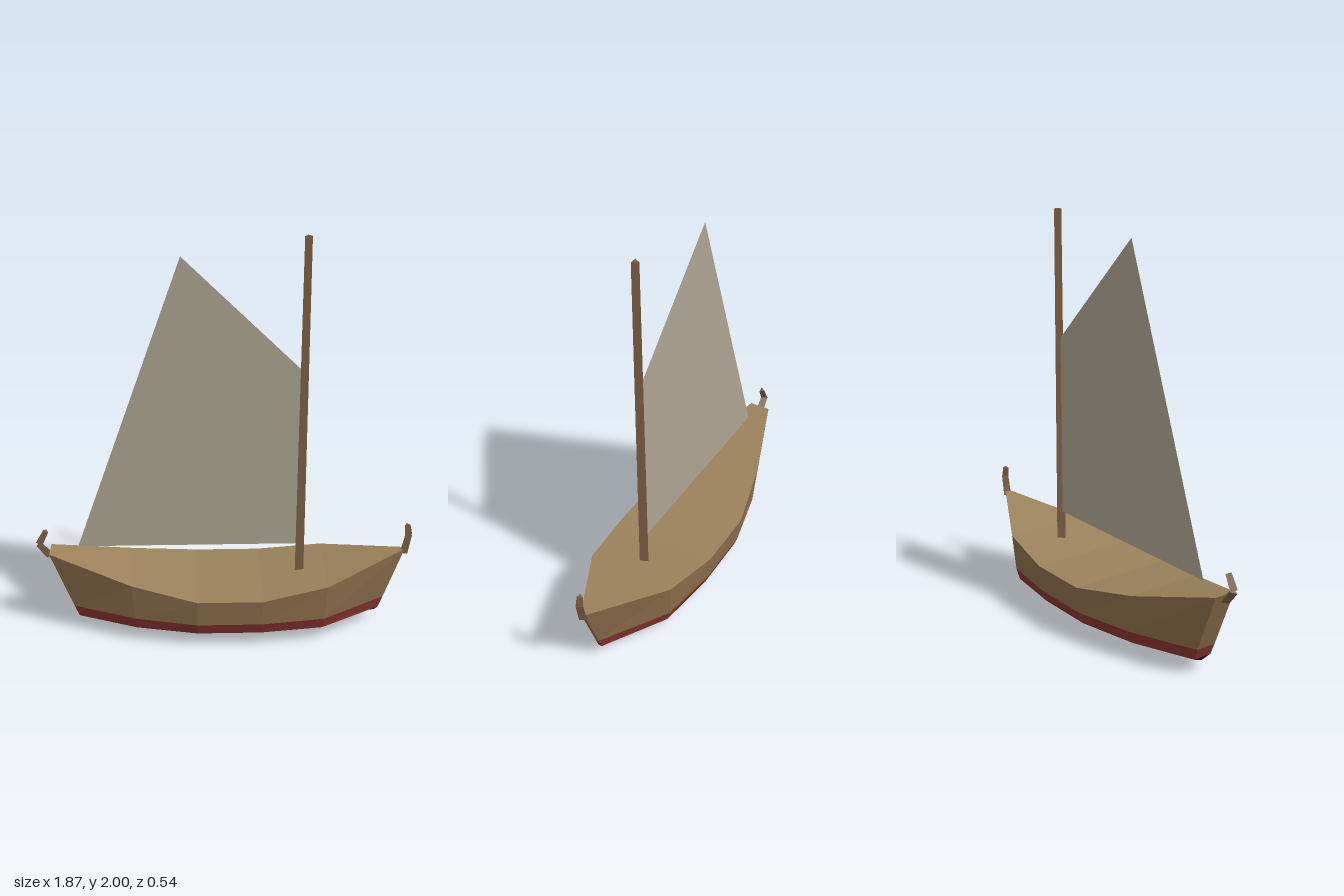
import * as THREE from 'three';

const mat = (color, extra = {}) => new THREE.MeshStandardMaterial({ color, flatShading: true, ...extra });
const WOOD = 0x8c6e4c, DECK = 0x9c825c, SPAR = 0x7d5f45, RED = 0x8a3430, BLACK = 0x131210, SAIL = 0xaca491;

// Hull stations, stern to bow: deck x, deck y, half width, chine x, keel x, keel y
const STATIONS = [
  [-0.87, 0.435, 0.055, -0.737, -0.73, 0.06],
  [-0.46, 0.33, 0.195, -0.443, -0.44, 0.018],
  [-0.14, 0.275, 0.27, -0.14, -0.14, 0.005],
  [0.18, 0.275, 0.27, 0.175, 0.175, 0.002],
  [0.5, 0.325, 0.225, 0.48, 0.48, 0.015],
  [0.905, 0.415, 0.01, 0.787, 0.77, 0.06],
];
const CHINE = 0.08, STRIPE = 0.14;

// Rows of points along the port side
const V = (x, y, z) => new THREE.Vector3(x, y, z);
const sheerRow = STATIONS.map(([x, y, w]) => V(x, y, w));
const stripeRow = STATIONS.map(([x, y, w, cx]) =>
  V(cx + (x - cx) * (STRIPE - CHINE) / (y - CHINE), STRIPE, w * 0.945));
const chineRow = STATIONS.map(([, , w, cx]) => V(cx, CHINE, w * 0.865));
const keelRow = STATIONS.map(([, , , , kx, ky]) => V(kx, ky, 0));
const flip = (row) => row.map((p) => V(p.x, p.y, -p.z));

function quadMesh(name, quads, color) {
  const pos = [];
  for (const [a, b, c, d] of quads) for (const p of [a, b, c, a, c, d]) pos.push(p.x, p.y, p.z);
  const geo = new THREE.BufferGeometry();
  geo.setAttribute('position', new THREE.Float32BufferAttribute(pos, 3));
  geo.computeVertexNormals();
  const mesh = new THREE.Mesh(geo, mat(color));
  mesh.name = name;
  return mesh;
}

const strip = (low, high) =>
  low.slice(1).map((p, i) => [low[i], p, high[i + 1], high[i]]);

// A band of planking: both sides plus the stern and bow ends
function hullBand(name, low, high, color) {
  const low2 = flip(low), high2 = flip(high), n = low.length - 1;
  return quadMesh(name, [
    ...strip(low, high),
    ...strip(high2, low2),
    [low2[0], low[0], high[0], high2[0]],
    [low[n], low2[n], high2[n], high[n]],
  ], color);
}

// Three-sided bar between two points
function bar(name, a, b, r0, r1) {
  const dir = b.clone().sub(a);
  const geo = new THREE.CylinderGeometry(r1, r0, dir.length(), 3);
  geo.rotateY(Math.PI);
  const mesh = new THREE.Mesh(geo, mat(SPAR));
  mesh.name = name;
  mesh.position.copy(a).add(b).multiplyScalar(0.5);
  mesh.quaternion.setFromUnitVectors(V(0, 1, 0), dir.normalize());
  return mesh;
}

export function createModel() {
  const boat = new THREE.Group();
  boat.name = 'sailingBoat';

  // Hull
  const hull = new THREE.Group();
  hull.name = 'hull';
  hull.add(
    hullBand('bottom', keelRow, chineRow, BLACK),
    hullBand('stripe', chineRow, stripeRow, RED),
    hullBand('topsides', stripeRow, sheerRow, WOOD),
    quadMesh('deck', strip(sheerRow, flip(sheerRow)), DECK),
  );
  boat.add(hull);

  // Mast
  boat.add(bar('mast', V(0.375, 0.295, 0), V(0.375, 2, 0), 0.025, 0.02));

  // Sail
  const outline = [[-0.73, 0.45], [0.365, 0.45], [0.365, 1.365], [-0.2, 1.91]];
  const sail = new THREE.Mesh(
    new THREE.ShapeGeometry(new THREE.Shape(outline.map(([x, y]) => new THREE.Vector2(x, y)))),
    mat(SAIL, { side: THREE.DoubleSide }),
  );
  sail.name = 'sail';
  boat.add(sail);

  // Bent posts at the bow and stern
  const posts = {
    bowPost: [V(0.9, 0.39, 0), V(0.92, 0.495, 0), V(0.912, 0.548, 0)],
    sternPost: [V(-0.87, 0.405, 0), V(-0.922, 0.47, 0), V(-0.885, 0.54, 0)],
  };
  for (const [name, [foot, bend, tip]] of Object.entries(posts)) {
    const post = new THREE.Group();
    post.name = name;
    post.add(bar(name + 'Lower', foot, bend, 0.022, 0.02), bar(name + 'Upper', bend, tip, 0.02, 0.016));
    boat.add(post);
  }
  return boat;
}
